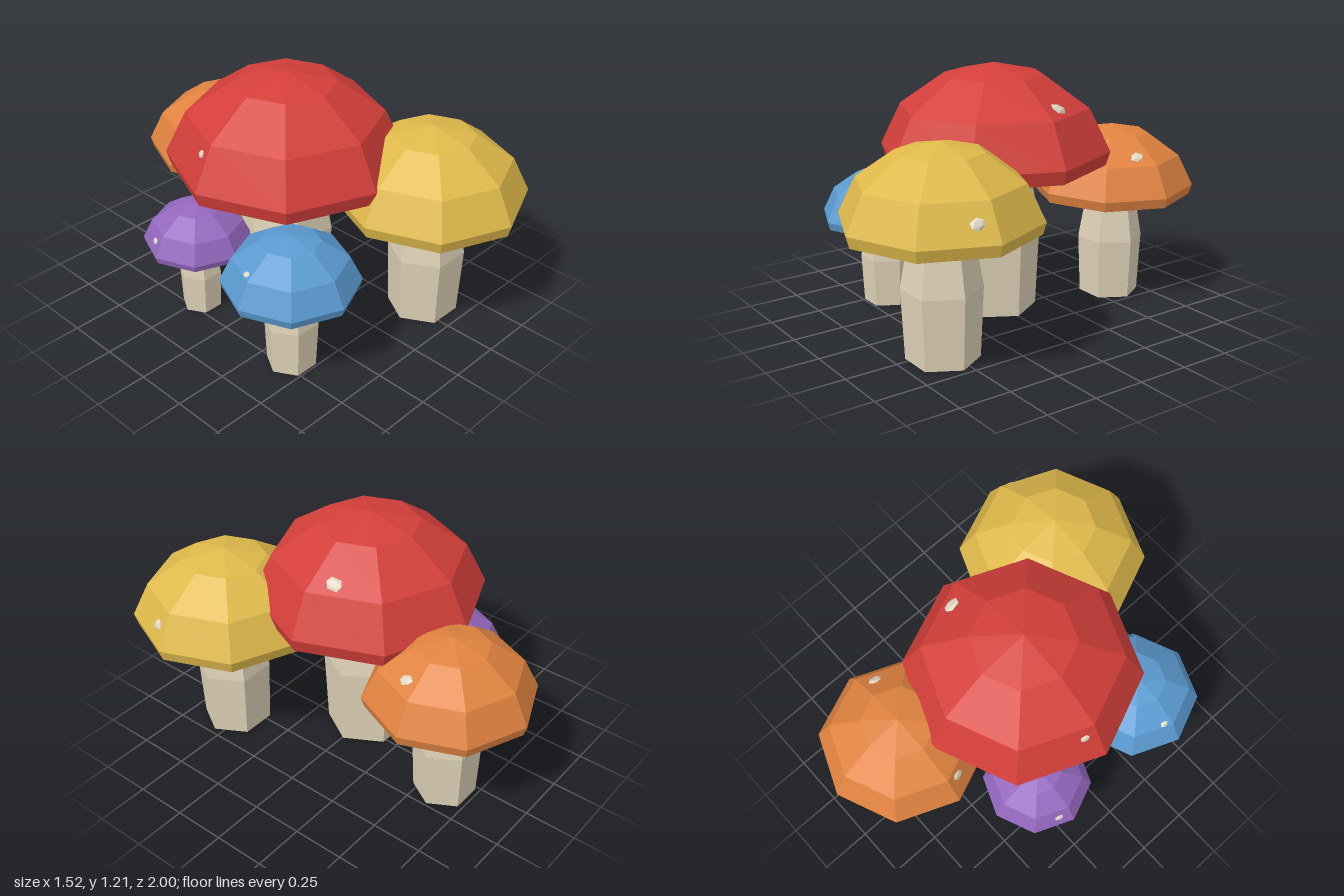
import * as THREE from 'three';

const mat = (name, color) => {
  const m = new THREE.MeshStandardMaterial({ color });
  m.name = name;
  return m;
};

// Cap profile for a unit radius: [radius, height above the rim], bottom to top
const CAP = [[0, -0.175], [0.965, -0.12], [1, 0], [0.82, 0.365], [0.43, 0.64], [0, 0.738]];

// Faceted normals: every face gets its own corners
function faceted(geometry) {
  const g = geometry.index ? geometry.toNonIndexed() : geometry;
  g.computeVertexNormals();
  return g;
}

function lathe(points, sides, start = 0) {
  return faceted(new THREE.LatheGeometry(points.map(([r, y]) => new THREE.Vector2(r, y)), sides, start));
}

function part(name, geometry, material) {
  const mesh = new THREE.Mesh(geometry, material);
  mesh.name = name;
  return mesh;
}

// Point and outward normal on an eight-sided cap at offset dx, dz from its axis
function onCap(radius, dx, dz) {
  let rho = 0, face = 0;
  for (let i = 0; i < 8; i++) {
    const a = (i + 0.5) * Math.PI / 4;
    const d = (dx * Math.cos(a) + dz * Math.sin(a)) / Math.cos(Math.PI / 8) / radius;
    if (d > rho) { rho = d; face = a; }
  }
  let i = 2;
  while (i < 4 && CAP[i + 1][0] > rho) i++;
  const [r0, y0] = CAP[i], [r1, y1] = CAP[i + 1];
  const y = y0 + (y1 - y0) * (r0 - rho) / (r0 - r1);
  const out = y1 - y0, up = (r0 - r1) * Math.cos(Math.PI / 8);
  return {
    point: new THREE.Vector3(dx, y * radius, dz),
    normal: new THREE.Vector3(out * Math.cos(face), up, out * Math.sin(face)).normalize(),
  };
}

export function createModel() {
  const model = new THREE.Group();
  model.name = 'mushroomCluster';
  const stemMat = mat('stem beige', 0xddd0b5);
  const spotMat = mat('spot cream', 0xe0d8c4);

  // x, z: axis; r: cap radius; rim: height of the widest ring; spots: [dx, dz, size]
  const mushrooms = [
    { name: 'red', color: 0xd43f3a, x: -0.083, z: -0.005, r: 0.555, rim: 0.8,
      spots: [[0.368, -0.095, 0.042], [-0.462, -0.055, 0.024]] },
    { name: 'yellow', color: 0xdfb94a, x: 0.305, z: 0.545, r: 0.455, rim: 0.65,
      spots: [[0.385, 0.072, 0.035]] },
    { name: 'orange', color: 0xe08340, x: 0.09, z: -0.6, r: 0.4, rim: 0.575,
      spots: [[0.25, 0.062, 0.034], [-0.325, 0.06, 0.03]] },
    { name: 'blue', color: 0x5a9ad0, x: -0.45, z: 0.39, r: 0.315, rim: 0.455,
      spots: [[-0.23, -0.035, 0.019], [0.23, -0.05, 0.022]] },
    { name: 'purple', color: 0x9467bd, x: -0.443, z: -0.235, r: 0.26, rim: 0.385,
      spots: [[-0.213, -0.055, 0.022], [0.17, -0.04, 0.022]] },
  ];

  for (const { name, color, x, z, r, rim, spots } of mushrooms) {
    const group = new THREE.Group();
    group.name = name + 'Mushroom';
    group.position.set(x, 0, z);

    // Six-sided stem, slightly swollen halfway up
    const s = r * 0.368;
    group.add(part('stem', lathe([[0, 0], [s, 0], [s * 1.09, rim * 0.51], [s * 0.76, rim]], 6, Math.PI / 2), stemMat));

    // Eight-sided domed cap with a shallow conical underside
    const cap = part('cap', lathe(CAP.map(([a, b]) => [a * r, b * r]), 8), mat(name + ' cap', color));
    cap.position.y = rim;
    group.add(cap);

    // Small flattened chips lying on the cap
    spots.forEach(([dx, dz, size], i) => {
      const { point, normal } = onCap(r, dx, dz);
      const geo = new THREE.IcosahedronGeometry(size, 0);
      geo.rotateY(i + dx * 9).scale(0.8, 0.3, 1.05);
      const spot = part('capSpot', faceted(geo), spotMat);
      spot.position.copy(point).setY(point.y + rim);
      spot.quaternion.setFromUnitVectors(new THREE.Vector3(0, 1, 0), normal);
      group.add(spot);
    });
    model.add(group);
  }
  return model;
}
